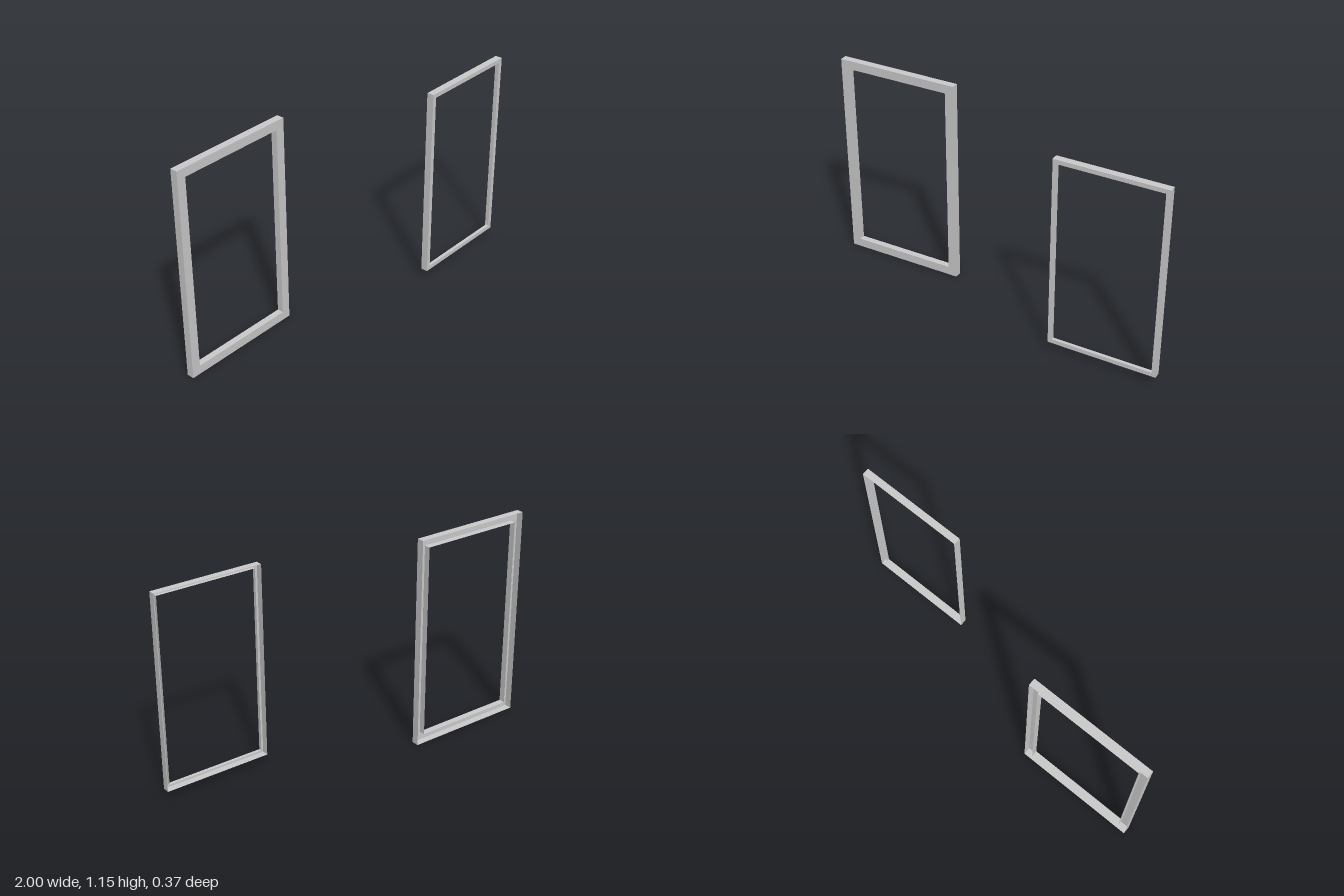
import * as THREE from 'three';

const material = new THREE.MeshStandardMaterial({
  color: 0xcccccc, flatShading: true, side: THREE.DoubleSide,
});

// Flat ring with a rectangular opening, facing +z
function facePlate(w, h, border) {
  const rect = (target, a, b) => target
    .moveTo(-a, -b).lineTo(a, -b).lineTo(a, b).lineTo(-a, b).closePath();
  const shape = rect(new THREE.Shape(), w / 2, h / 2);
  shape.holes.push(rect(new THREE.Path(), w / 2 - border, h / 2 - border));
  return new THREE.Mesh(new THREE.ShapeGeometry(shape), material);
}

// Four thin walls running back from z = 0 around a rectangle
function wallLoop(w, h, depth) {
  const group = new THREE.Group();
  for (const s of [-1, 1]) {
    const side = new THREE.Mesh(new THREE.PlaneGeometry(depth, h), material);
    side.rotation.y = s * Math.PI / 2;
    side.position.set(s * w / 2, 0, -depth / 2);
    side.name = 'sideWall';
    const level = new THREE.Mesh(new THREE.PlaneGeometry(w, depth), material);
    level.rotation.x = -s * Math.PI / 2;
    level.position.set(0, s * h / 2, -depth / 2);
    level.name = s > 0 ? 'topWall' : 'bottomWall';
    group.add(side, level);
  }
  return group;
}

// Open-backed frame: front plate, outer rim and a lip around the opening
function makeFrame(name, { x0, x1, y0, y1, front, depth, border, lip }) {
  const w = x1 - x0, h = y1 - y0;
  const frame = new THREE.Group();
  frame.name = name;
  const plate = facePlate(w, h, border);
  plate.name = 'frontPlate';
  const rim = wallLoop(w, h, depth);
  rim.name = 'outerRim';
  const inner = wallLoop(w - 2 * border, h - 2 * border, lip);
  inner.name = 'openingLip';
  frame.add(plate, rim, inner);
  frame.position.set((x0 + x1) / 2, (y0 + y1) / 2, front);
  return frame;
}

export function createModel() {
  const model = new THREE.Group();
  model.name = 'framePair';
  model.add(
    makeFrame('wideFrame', {
      x0: -1, x1: -0.32, y0: 0, y1: 1.155,
      front: -0.146, depth: 0.04, border: 0.048, lip: 0.035,
    }),
    makeFrame('narrowFrame', {
      x0: 0.412, x1: 1, y0: 0.05, y1: 1.107,
      front: 0.186, depth: 0.038, border: 0.023, lip: 0.018,
    }),
  );
  return model;
}
